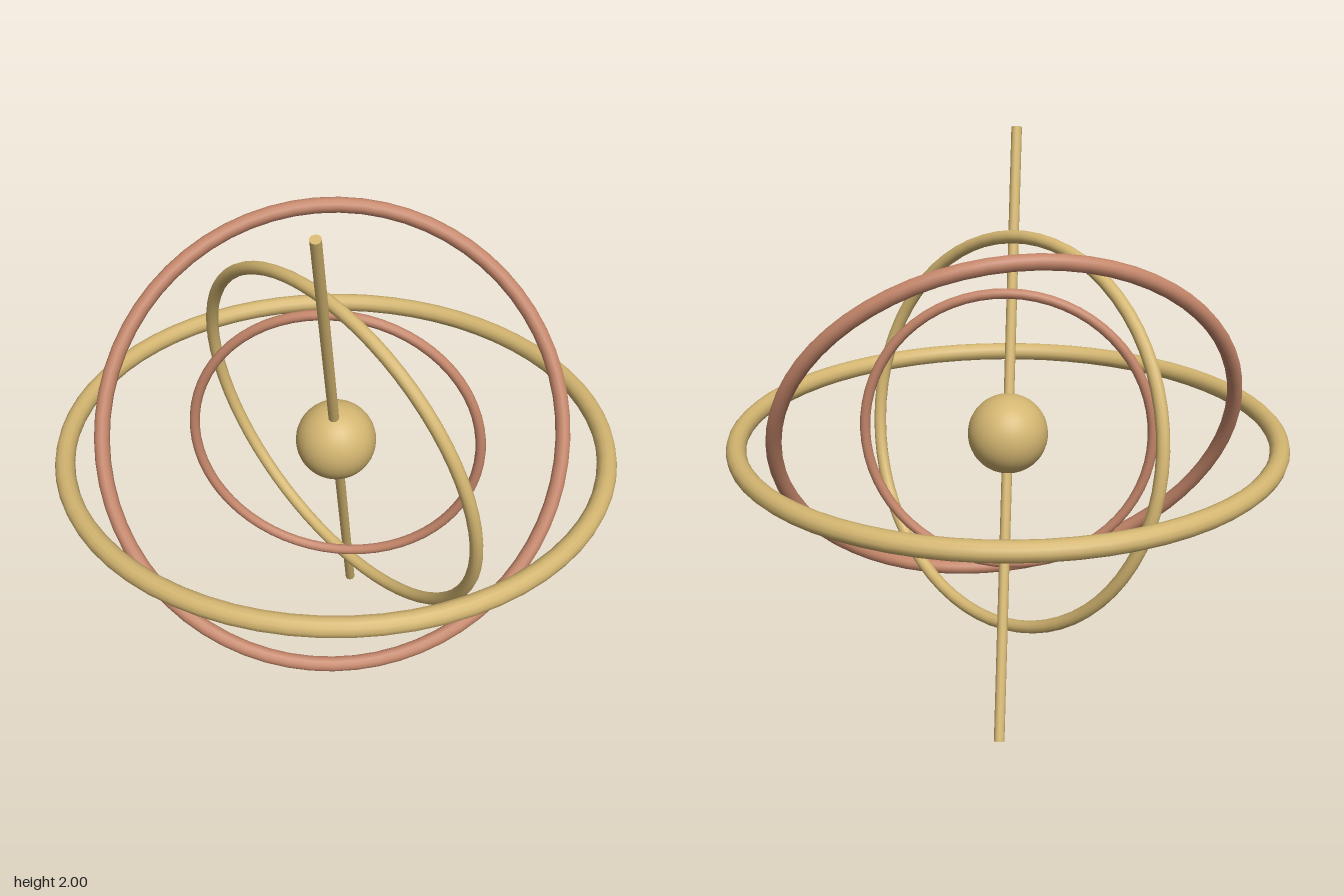
import * as THREE from 'three';

export function createModel() {
  const model = new THREE.Group();
  model.name = 'ringedSphere';

  const brass = new THREE.MeshStandardMaterial({ color: 0xd4b671 });
  brass.name = 'brass';
  const copper = new THREE.MeshStandardMaterial({ color: 0xc4866a });
  copper.name = 'copper';

  const add = (name, geometry, material) => {
    const mesh = new THREE.Mesh(geometry, material);
    mesh.name = name;
    mesh.position.y = 1;
    model.add(mesh);
    return mesh;
  };

  // Concentric rings: radius, tube radius and the axis each one turns about
  const rings = [
    ['horizonRing', 0.933, 0.034, [0, 1, 0], brass],
    ['outerTiltedRing', 0.807, 0.027, [0.218, 0.481, 0.849], copper],
    ['innerTiltedRing', 0.679, 0.0225, [-0.64, -0.195, 0.744], brass],
    ['uprightRing', 0.503, 0.018, [0, 0, 1], copper],
  ];
  const forward = new THREE.Vector3(0, 0, 1);
  for (const [name, radius, tube, axis, material] of rings) {
    const ring = add(name, new THREE.TorusGeometry(radius, tube, 12, 64), material);
    ring.quaternion.setFromUnitVectors(forward, new THREE.Vector3(...axis).normalize());
  }

  // Central sphere
  add('centreSphere', new THREE.SphereGeometry(0.14, 32, 24), brass);

  // Leaning rod through the sphere
  const rod = add('axisRod', new THREE.CylinderGeometry(0.0185, 0.0185, 2.142, 12), brass);
  rod.rotation.x = THREE.MathUtils.degToRad(22);

  return model;
}
